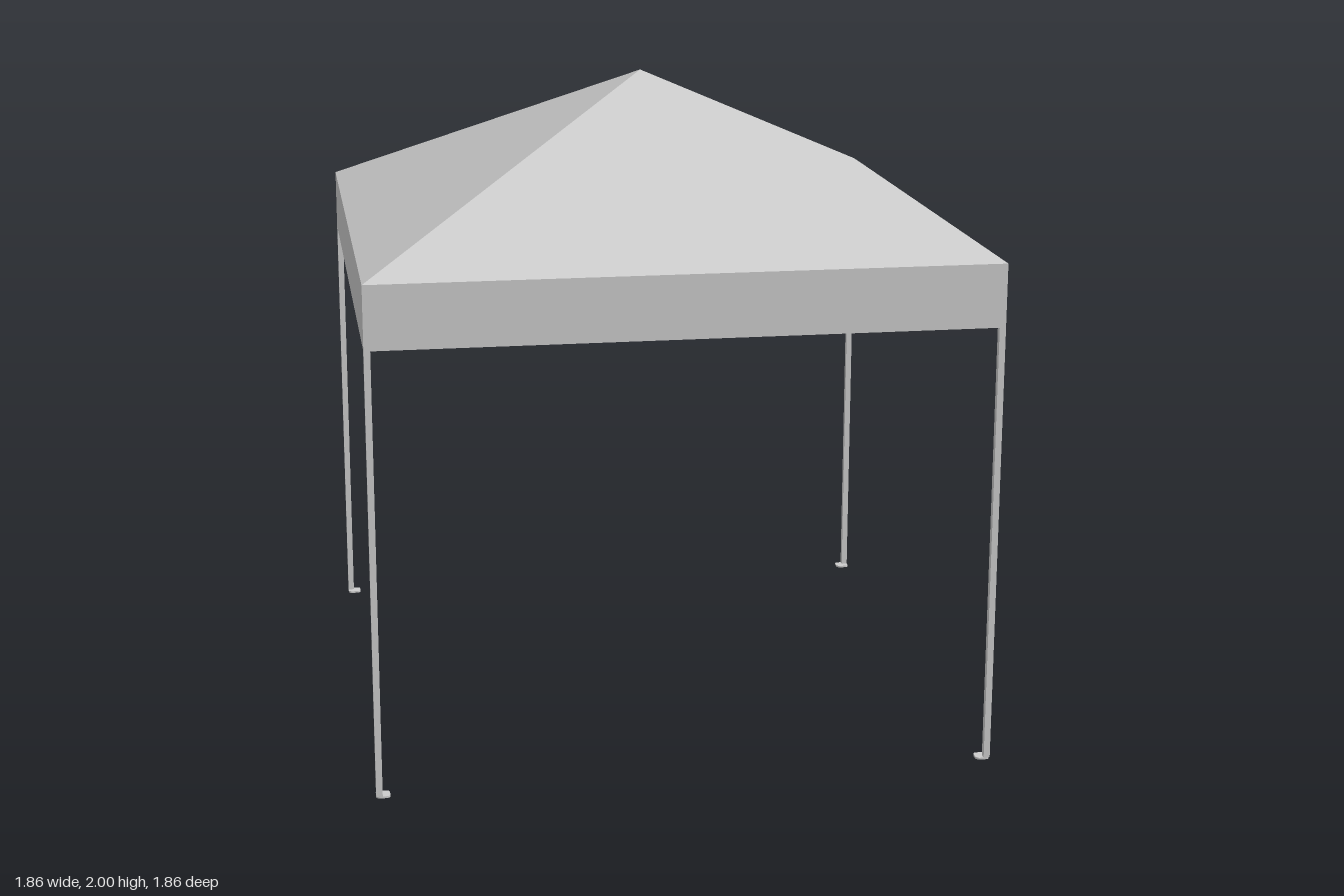
import * as THREE from 'three';

const HALF = 0.93;      // half width of the canopy
const EAVE = 1.54;      // height where the roof meets the valance
const VALANCE = 1.35;   // lower edge of the valance
const PEAK = 2.0;
const POLE = 0.019;     // side of the square pole
const FOOT = 0.042;     // side of the foot plate
const PLATE = 0.006;    // foot plate thickness

const cloth = new THREE.MeshStandardMaterial({ color: 0xcccccc, flatShading: true, side: THREE.DoubleSide });
const metal = new THREE.MeshStandardMaterial({ color: 0xcccccc, flatShading: true });

function part(name, geometry, material, y = 0) {
  const mesh = new THREE.Mesh(geometry, material);
  mesh.name = name;
  mesh.position.y = y;
  return mesh;
}

// Flat plate with rounded corners, lying on the ground
function footGeometry() {
  const h = FOOT / 2, r = 0.012;
  const s = new THREE.Shape();
  s.absarc(h - r, h - r, r, 0, Math.PI / 2);
  s.absarc(r - h, h - r, r, Math.PI / 2, Math.PI);
  s.absarc(r - h, r - h, r, Math.PI, Math.PI * 1.5);
  s.absarc(h - r, r - h, r, Math.PI * 1.5, Math.PI * 2);
  s.closePath();
  const g = new THREE.ExtrudeGeometry(s, { depth: PLATE, bevelEnabled: false, curveSegments: 5 });
  return g.rotateX(-Math.PI / 2);
}

export function createModel() {
  const model = new THREE.Group();
  model.name = 'canopyTent';
  const radius = HALF * Math.SQRT2;

  // Four-sided fabric roof, open underneath
  const roof = new THREE.ConeGeometry(radius, PEAK - EAVE, 4, 1, true).rotateY(Math.PI / 4);
  model.add(part('roof', roof, cloth, (PEAK + EAVE) / 2));

  // Fabric band hanging from the eaves
  const band = new THREE.CylinderGeometry(radius, radius, EAVE - VALANCE, 4, 1, true).rotateY(Math.PI / 4);
  model.add(part('valance', band, cloth, (EAVE + VALANCE) / 2));

  // Corner poles, each on a plate that reaches inward
  const poleGeometry = new THREE.BoxGeometry(POLE, VALANCE - PLATE, POLE);
  const plateGeometry = footGeometry();
  for (const [sx, sz, corner] of [[1, 1, 'frontLeft'], [-1, 1, 'frontRight'], [1, -1, 'backLeft'], [-1, -1, 'backRight']]) {
    const leg = new THREE.Group();
    leg.name = corner + 'Leg';
    const pole = part('pole', poleGeometry, metal, (VALANCE + PLATE) / 2);
    pole.position.x = sx * (HALF - POLE / 2);
    pole.position.z = sz * (HALF - POLE / 2);
    const foot = part('footPlate', plateGeometry, metal);
    foot.position.x = sx * (HALF - FOOT / 2);
    foot.position.z = sz * (HALF - FOOT / 2);
    leg.add(pole, foot);
    model.add(leg);
  }
  return model;
}
